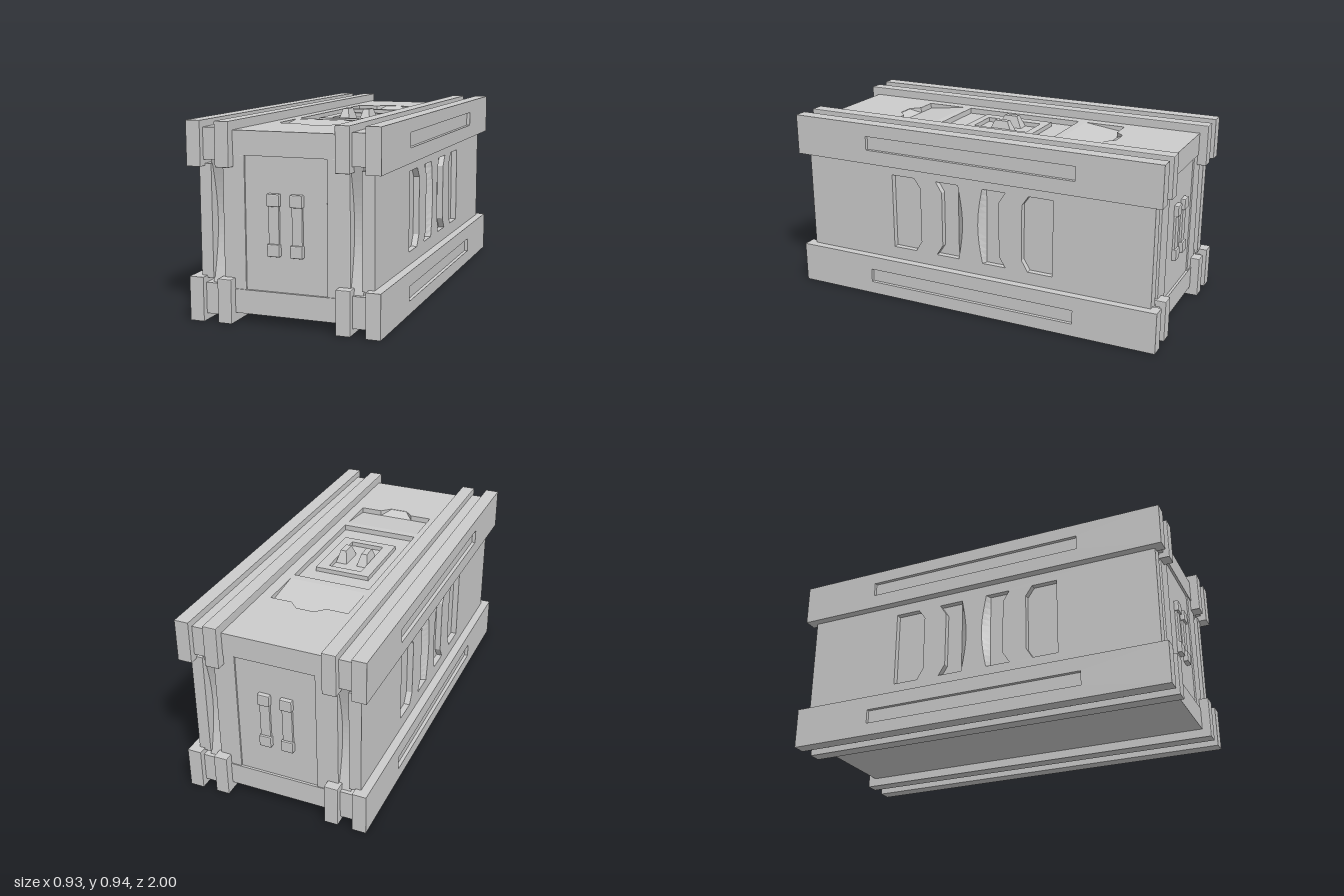
import * as THREE from 'three';
import { RoundedBoxGeometry } from 'three/addons/geometries/RoundedBoxGeometry.js';

const MID = 0.4675; // half height, used to mirror the rails
const material = new THREE.MeshStandardMaterial({ color: 0xcccccc, flatShading: true });
const thin = new THREE.MeshStandardMaterial({ color: 0xcccccc, flatShading: true, side: THREE.DoubleSide });

function add(parent, name, geometry, mat = material) {
  const mesh = new THREE.Mesh(geometry, mat);
  mesh.name = name;
  parent.add(mesh);
  return mesh;
}

// Box given by its limits on each axis, optionally with a small bevel
function box(parent, name, [x0, x1], [y0, y1], [z0, z1], bevel = 0) {
  const size = [x1 - x0, y1 - y0, z1 - z0];
  const geometry = bevel ? new RoundedBoxGeometry(...size, 1, bevel) : new THREE.BoxGeometry(...size);
  const mesh = add(parent, name, geometry);
  mesh.position.set((x0 + x1) / 2, (y0 + y1) / 2, (z0 + z1) / 2);
  return mesh;
}

const outline = (points) => points.map(([x, y]) => new THREE.Vector2(x, y));
const rect = (x0, x1, y0, y1) => [[x0, y0], [x1, y0], [x1, y1], [x0, y1]];

function plate(points, holes, depth) {
  const shape = new THREE.Shape(outline(points));
  for (const hole of holes) shape.holes.push(new THREE.Path(outline(hole)));
  return new THREE.ExtrudeGeometry(shape, { depth, bevelEnabled: false });
}
// Plate drawn in (z, y) facing +x, and plate drawn in (x, z) facing +y
const sidePlate = (points, holes, x0, x1) => plate(points, holes, x1 - x0).rotateY(Math.PI / 2).translate(x0, 0, 0);
const topPlate = (points, holes, y0, y1) => plate(points, holes, y1 - y0).rotateX(-Math.PI / 2).translate(0, y0, 0);

// Curved edge of the inner side windows
const ARC = Array.from({ length: 13 }, (_, i) => {
  const t = i / 12;
  return [0.068 - 0.025 * Math.sin(Math.PI * t), 0.275 + 0.395 * t];
});
const flip = (points) => points.map(([x, y]) => [-x, y]);

function createSide() {
  const side = new THREE.Group();
  side.name = 'side';

  // Wall with four cut windows
  const outer = [[0.45, 0.275], [0.318, 0.275], [0.285, 0.33], [0.285, 0.62], [0.32, 0.67], [0.45, 0.67]];
  const inner = [...ARC, [0.195, 0.67], [0.16, 0.615], [0.16, 0.33], [0.195, 0.275]];
  box(side, 'wallBacking', [0.365, 0.395], [0.2, 0.735], [-0.957, 0.957]);
  add(side, 'windowedWall', sidePlate(rect(-0.957, 0.957, 0.2, 0.735),
    [outer, inner, flip(outer), flip(inner)], 0.395, 0.425));

  // Sloping scoops inside the inner windows
  for (const s of [-1, 1]) {
    const positions = [];
    const index = [];
    ARC.forEach(([z, y], i) => {
      positions.push(0.425, y, s * z, 0.396, y, s * 0.08);
      if (i) index.push(2 * i - 2, 2 * i - 1, 2 * i, 2 * i, 2 * i - 1, 2 * i + 1);
    });
    const scoop = new THREE.BufferGeometry();
    scoop.setAttribute('position', new THREE.Float32BufferAttribute(positions, 3));
    scoop.setIndex(index);
    scoop.computeVertexNormals();
    add(side, 'windowScoop', scoop, thin);
  }

  // Recessed strip with concave ends
  const curve = Array.from({ length: 17 }, (_, i) => {
    const t = i / 16;
    return [0.95 - 0.05 * Math.sin(Math.PI * t), 0.18 + 0.575 * t];
  });
  add(side, 'concaveStrip', sidePlate([...curve, ...flip(curve).reverse()], [], 0.3, 0.37));

  // Double rails above and below
  for (const s of [-1, 1]) {
    const span = (a, b) => [MID + s * a, MID + s * b].sort((p, q) => p - q);
    const rail = new THREE.Group();
    rail.name = s > 0 ? 'topRail' : 'bottomRail';
    side.add(rail);
    box(rail, 'innerRailBar', [0.255, 0.325], span(0.2575, 0.4675), [-1, 1], 0.004);
    box(rail, 'railWeb', [0.315, 0.405], span(0.2875, 0.4355), [-0.97, 0.97]);
    box(rail, 'outerRailBar', [0.397, 0.449], span(0.2575, 0.4675), [-1, 1]);
    add(rail, 'slottedRailFace', sidePlate(rect(-1, 1, ...span(0.2575, 0.4675)),
      [rect(-0.575, 0.575, ...span(0.33, 0.402))], 0.449, 0.467));
  }
  return side;
}

function createEnd() {
  const end = new THREE.Group();
  end.name = 'end';
  box(end, 'upperEndBand', [-0.26, 0.26], [0.78, 0.86], [0.93, 0.957]);
  box(end, 'lowerEndBand', [-0.26, 0.26], [0.045, 0.158], [0.93, 0.957]);
  for (const s of [-1, 1]) {
    const span = (a, b) => [s * a, s * b].sort((p, q) => p - q);
    box(end, 'endColumn', span(0.2, 0.31), [0.155, 0.783], [0.92, 0.953], 0.004);
    // Vertical handle with two thicker mounts
    box(end, 'handleBar', span(0.031, 0.083), [0.35, 0.59], [0.93, 0.957], 0.004);
    for (const y of [0.325, 0.555]) {
      box(end, 'handleMount', span(0.026, 0.087), [y, y + 0.058], [0.93, 0.968], 0.005);
    }
  }
  return end;
}

function createTop() {
  const top = new THREE.Group();
  top.name = 'top';
  const floor = 0.865, surface = 0.893;

  // Lid with a central recess and two notched scoops
  const scoop = [[-0.2, 0.36], [0.2, 0.36], [0.2, 0.575], [0.09, 0.575], [0.045, 0.62], [-0.045, 0.62], [-0.09, 0.575], [-0.2, 0.575]];
  const mirrored = scoop.map(([x, z]) => [x, -z]);
  add(top, 'lid', topPlate(rect(-0.257, 0.257, -0.957, 0.957),
    [scoop, mirrored, rect(-0.2, 0.2, -0.32, 0.32)], 0.855, surface));

  // Ramps rising out of the scoops towards the middle and the notch
  const ramps = [[0.2, [[0.36, floor - 0.005], [0.575, floor - 0.005], [0.575, floor], [0.36, surface]]],
    [0.09, [[0.575, floor - 0.005], [0.622, floor - 0.005], [0.622, surface - 0.001], [0.575, floor]]]];
  for (const [half, profile] of ramps) {
    for (const s of [-1, 1]) {
      add(top, 'scoopRamp', sidePlate(profile.map(([z, y]) => [s * z, y]), [], -half, half));
    }
  }

  // Raised frame around the latch
  add(top, 'latchFrame', topPlate(rect(-0.143, 0.143, -0.19, 0.19),
    [rect(-0.087, 0.087, -0.15, 0.15)], floor - 0.002, 0.887));

  // Pair of tapered latch knobs
  for (const s of [-1, 1]) {
    const knob = new THREE.BoxGeometry(0.06, 0.062, 0.13);
    const p = knob.attributes.position;
    for (let i = 0; i < p.count; i++) {
      if (p.getY(i) > 0) p.setXYZ(i, p.getX(i) * 0.5, p.getY(i), p.getZ(i) * 0.55);
    }
    knob.computeVertexNormals();
    add(top, 'latchKnob', knob).position.set(s * 0.057, 0.894, 0);
  }
  return top;
}

export function createModel() {
  const crate = new THREE.Group();
  crate.name = 'crate';
  box(crate, 'body', [-0.31, 0.31], [0.045, 0.865], [-0.945, 0.945]);

  // Both sides and both ends are half-turn copies
  for (const turn of [0, Math.PI]) {
    const side = createSide();
    const end = createEnd();
    side.rotation.y = end.rotation.y = turn;
    crate.add(side, end);
  }
  crate.add(createTop());
  return crate;
}
